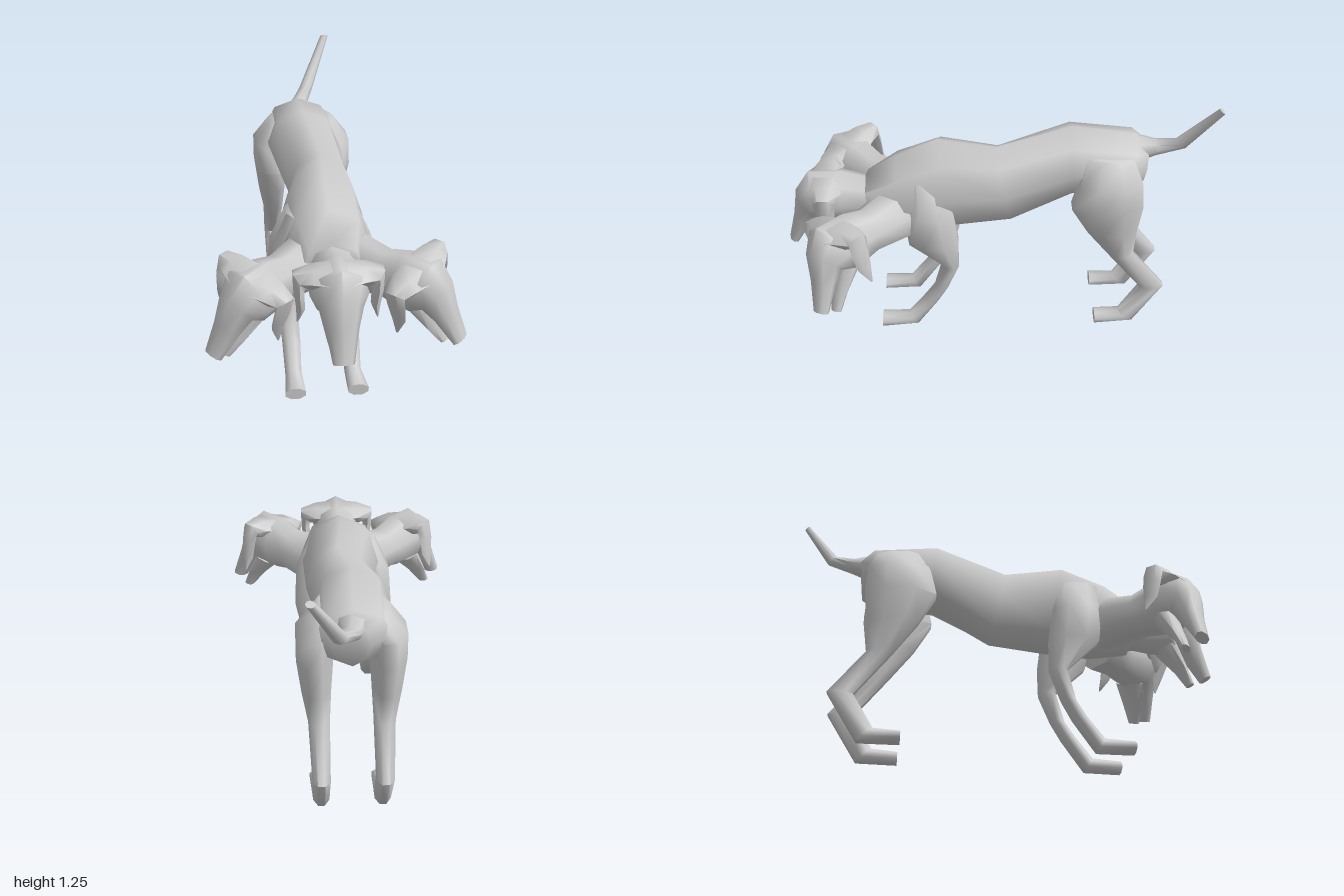
import * as THREE from 'three';
import { toCreasedNormals } from 'three/addons/utils/BufferGeometryUtils.js';

const material = new THREE.MeshStandardMaterial({ color: 0xcccccc });

// Capped skin over rings { c: centre, u, v: half axes }; side = -1 mirrors in x,
// flat = true puts flats instead of corners on the axes
function loft(name, rings, sides = 8, side = 1, flat = false) {
  const pos = [], index = [];
  const turn = flat ? Math.PI / sides : 0, grow = 1 / Math.cos(turn);
  const tri = (a, b, c) => (side > 0 ? index.push(a, b, c) : index.push(a, c, b));
  for (const { c, u, v } of rings) {
    for (let j = 0; j < sides; j++) {
      const t = (j / sides) * Math.PI * 2 + turn, s = Math.sin(t) * grow, k = Math.cos(t) * grow;
      pos.push(side * (c[0] + u[0] * s + v[0] * k), c[1] + u[1] * s + v[1] * k, c[2] + u[2] * s + v[2] * k);
    }
  }
  for (let i = 0; i < rings.length - 1; i++) {
    for (let j = 0; j < sides; j++) {
      const a = i * sides + j, b = i * sides + (j + 1) % sides;
      tri(a, a + sides, b);
      tri(b, a + sides, b + sides);
    }
  }
  const end = (rings.length - 1) * sides;
  for (let j = 1; j < sides - 1; j++) {
    tri(0, j, j + 1);
    tri(end, end + j + 1, end + j);
  }
  const geometry = new THREE.BufferGeometry();
  geometry.setAttribute('position', new THREE.Float32BufferAttribute(pos, 3));
  geometry.setIndex(index);
  const mesh = new THREE.Mesh(toCreasedNormals(geometry, 1.2), material);
  mesh.name = name;
  return mesh;
}

// Ring spanning two side-profile points (z, y), with half width w at offset x
const span = ([z1, y1, z2, y2, w, x = 0]) => ({
  c: [x, (y1 + y2) / 2, (z1 + z2) / 2],
  u: [w, 0, 0],
  v: [0, (y1 - y2) / 2, (z1 - z2) / 2],
});

// Head with neck, origin midway between the ears
function createHead(name) {
  const head = new THREE.Group();
  head.name = name;
  const skull = loft('skullAndNeck', [
    [0.42, 0.84, 0.44, 0.56, 0.125],
    [0.62, 0.80, 0.64, 0.585, 0.1],
    [0.73, 0.83, 0.72, 0.57, 0.115],
    [0.88, 0.83, 0.78, 0.57, 0.125],
    [0.945, 0.73, 0.83, 0.60, 0.092],
    [0.965, 0.60, 0.88, 0.55, 0.068],
    [1.0, 0.46, 0.95, 0.44, 0.045],
  ].map(span));
  const jaw = loft('lowerJaw', [
    [0.84, 0.62, 0.74, 0.58, 0.08],
    [0.885, 0.50, 0.83, 0.49, 0.055],
    [0.915, 0.42, 0.88, 0.41, 0.03],
  ].map(span));
  for (const part of [skull, jaw]) part.geometry.translate(0, -0.79, -0.79);
  head.add(skull, jaw);
  // Broad brow running out into folded, hanging ears
  const ear = [
    { c: [0.0, -0.02, 0.015], u: [0, 0.055, 0], v: [0, 0, 0.11] },
    { c: [0.11, -0.02, 0.01], u: [0, 0.05, 0], v: [0, 0, 0.075] },
    { c: [0.165, -0.03, 0.005], u: [0.027, 0.035, 0], v: [0, 0, 0.05] },
    { c: [0.165, -0.09, 0.005], u: [0.024, 0, 0], v: [0, 0, 0.046] },
    { c: [0.157, -0.17, 0], u: [0.02, 0, 0], v: [0, 0, 0.035] },
    { c: [0.17, -0.24, -0.01], u: [0.003, 0, 0], v: [0, 0, 0.005] },
  ];
  head.add(loft('leftEar', ear, 6, 1), loft('rightEar', ear, 6, -1));
  return head;
}

export function createModel() {
  const model = new THREE.Group();
  model.name = 'threeHeadedDog';

  // Slightly bent trunk, rump to chest
  model.add(loft('body', [
    [-0.71, 0.97, -0.69, 0.76, 0.08, -0.01],
    [-0.65, 1.01, -0.62, 0.73, 0.17, -0.015],
    [-0.35, 1.05, -0.35, 0.71, 0.172, -0.02],
    [0, 0.97, -0.08, 0.58, 0.148, 0.025],
    [0.27, 1.0, 0.18, 0.54, 0.185],
    [0.47, 0.91, 0.42, 0.53, 0.19],
    [0.61, 0.81, 0.59, 0.56, 0.14],
  ].map(span)));

  model.add(loft('tail', [
    [-0.62, 0.86, -0.66, 1.0, 0.08, -0.01],
    [-0.74, 0.91, -0.74, 0.985, 0.045, 0],
    [-0.87, 0.98, -0.82, 1.015, 0.035, 0.05],
    [-1.0, 1.225, -0.975, 1.245, 0.02, 0.165],
  ].map(span)));

  // Legs: front and back edge from hip or shoulder down to the toes
  const hindLeg = [
    [-0.42, 0.96, -0.63, 0.95, 0.05, 0.11],
    [-0.38, 0.84, -0.67, 0.85, 0.08, 0.16],
    [-0.35, 0.72, -0.68, 0.73, 0.08, 0.16],
    [-0.43, 0.58, -0.66, 0.57, 0.065, 0.155],
    [-0.54, 0.43, -0.655, 0.43, 0.048, 0.145],
    [-0.705, 0.22, -0.82, 0.225, 0.04, 0.14],
    [-0.61, 0.065, -0.68, 0, 0.037, 0.14],
    [-0.49, 0.055, -0.49, 0, 0.045, 0.145],
  ].map(span);
  const frontLeg = [
    [0.42, 0.85, 0.24, 0.85, 0.05, 0.11],
    [0.43, 0.69, 0.20, 0.69, 0.08, 0.15],
    [0.41, 0.53, 0.18, 0.53, 0.075, 0.165],
    [0.26, 0.39, 0.18, 0.38, 0.05, 0.155],
    [0.30, 0.24, 0.235, 0.24, 0.045, 0.145],
    [0.35, 0.165, 0.285, 0.15, 0.042, 0.14],
    [0.43, 0.065, 0.39, 0, 0.037, 0.14],
    [0.565, 0.055, 0.565, 0, 0.047, 0.145],
  ].map(span);
  for (const side of [1, -1]) {
    const label = side > 0 ? 'left' : 'right';
    const legs = [loft(label + 'HindLeg', hindLeg, 8, side, true), loft(label + 'FrontLeg', frontLeg, 8, side, true)];
    for (const leg of legs) leg.position.x = -0.013;
    model.add(...legs);

    // Outer heads turn outward and lean over
    const head = createHead(label + 'Head');
    head.position.set(side * 0.33, 0.75, 0.73);
    head.rotation.set(0, side * Math.PI / 4, side * 0.27, 'YXZ');
    model.add(head);
  }

  const middle = createHead('middleHead');
  middle.position.set(0, 0.79, 0.79);
  model.add(middle);
  return model;
}
